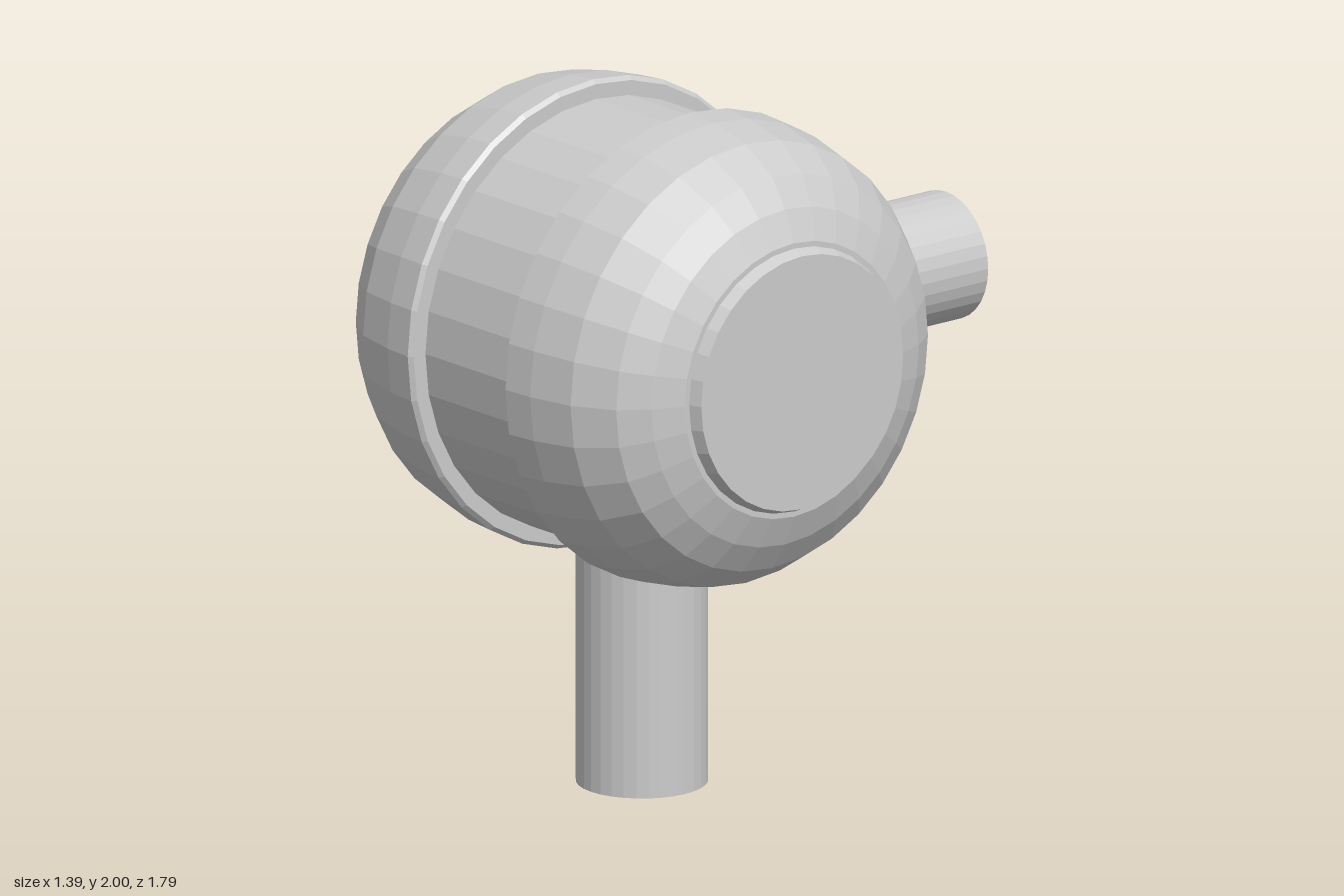
import * as THREE from 'three';

const SIDES = 32;
const DRUM_R = 0.625;

export function createModel() {
  const model = new THREE.Group();
  const material = new THREE.MeshStandardMaterial({ color: 0xcccccc, flatShading: true });

  const add = (parent, name, geometry) => {
    const mesh = new THREE.Mesh(geometry, material);
    mesh.name = name;
    parent.add(mesh);
    return mesh;
  };

  // Joint head, centred on the axle
  const head = new THREE.Group();
  head.name = 'jointHead';
  head.position.set(0, 1.32, 0.215);
  model.add(head);

  const drum = add(head, 'drum', new THREE.CylinderGeometry(DRUM_R, DRUM_R, 0.44, SIDES));
  drum.rotation.z = -Math.PI / 2;

  // Rounded cap and end disc: [radius, distance along the axle]
  const capProfile = [
    [0.56, 0.2], [0.668, 0.2], [0.68, 0.212], [0.672, 0.31], [0.642, 0.45],
    [0.572, 0.565], [0.49, 0.622], [0.4, 0.66], [0, 0.66],
  ].map(([r, h]) => new THREE.Vector2(r, h));

  for (const side of [-1, 1]) {
    const end = new THREE.Group();
    end.name = side > 0 ? 'leftEnd' : 'rightEnd';
    end.rotation.z = -side * Math.PI / 2;
    head.add(end);
    add(end, 'roundedCap', new THREE.LatheGeometry(capProfile, SIDES));
    const disc = add(end, 'endDisc', new THREE.CylinderGeometry(0.37, 0.388, 0.045, SIDES));
    disc.position.y = 0.673;
  }

  // Pegs: one standing on the ground, one reaching backward
  const lowerPeg = add(head, 'lowerPeg', new THREE.CylinderGeometry(0.186, 0.186, 0.82, SIDES));
  lowerPeg.position.y = -0.91;
  const backPeg = add(head, 'backPeg', new THREE.CylinderGeometry(0.184, 0.184, 0.615, SIDES));
  backPeg.rotation.x = Math.PI / 2;
  backPeg.position.z = -0.8075;

  // Shallow seat under the back peg
  const seat = add(head, 'pegSeat', new THREE.BoxGeometry(0.38, 0.2, 0.2));
  seat.position.set(0, -0.1, -0.508);

  return model;
}
